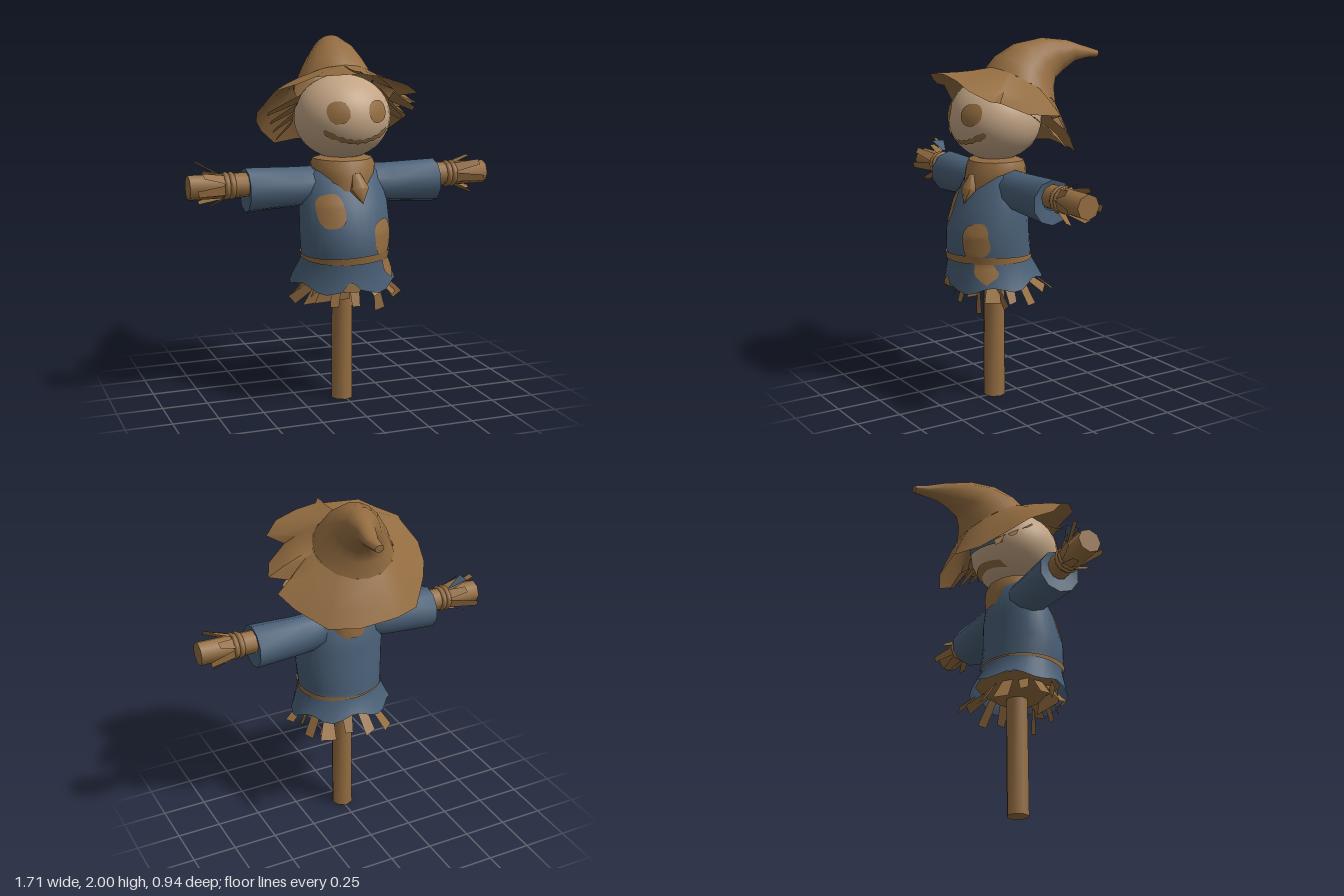
import * as THREE from 'three';
import { mergeGeometries, toCreasedNormals } from 'three/addons/utils/BufferGeometryUtils.js';

const V = (x, y, z) => new THREE.Vector3(x, y, z);
const TAU = Math.PI * 2;
const material = (name, color) => {
  const m = new THREE.MeshStandardMaterial({ color, side: THREE.DoubleSide });
  m.name = name;
  return m;
};

// Skin over rows of points; closed rows wrap around
function loft(rows, closed = true) {
  const n = rows[0].length, pos = [], idx = [];
  rows.forEach(r => r.forEach(p => pos.push(p.x, p.y, p.z)));
  for (let i = 0; i < rows.length - 1; i++)
    for (let j = 0; j < (closed ? n : n - 1); j++) {
      const a = i * n + j, b = i * n + (j + 1) % n;
      idx.push(a, a + n, b, b, a + n, b + n);
    }
  const g = new THREE.BufferGeometry();
  g.setAttribute('position', new THREE.Float32BufferAttribute(pos, 3));
  g.setIndex(idx);
  g.computeVertexNormals();
  return g;
}
const around = (n, fn) => Array.from({ length: n }, (_, i) => fn(i / n * TAU, i));

// Flat straw blade from base to tip
function blade(base, tip, side, w0, w1) {
  const s = side.clone().normalize();
  const row = (p, w) => [p.clone().addScaledVector(s, -w / 2), p.clone().addScaledVector(s, w / 2)];
  return loft([row(base, w0), row(tip, w1)], false);
}

// Thin painted patch: (u, v) gives x, y and zAt lays it on a surface
function decal(nu, nv, fn, zAt) {
  const rows = [];
  for (let j = 0; j <= nv; j++) {
    const row = [];
    for (let i = 0; i <= nu; i++) {
      const [x, y] = fn(i / nu, j / nv);
      row.push(V(x, y, zAt(x, y)));
    }
    rows.push(row);
  }
  return loft(rows, false);
}

// Shirt profile: y, front z, back z, half width
const SHIRT = [
  [1.35, 0.19, 0.04, 0.12], [1.28, 0.26, -0.01, 0.21], [1.12, 0.35, -0.03, 0.245],
  [0.97, 0.405, -0.035, 0.25], [0.86, 0.41, -0.05, 0.24], [0.82, 0.4, -0.05, 0.235],
  [0.64, 0.42, -0.15, 0.315],
];
function shirtAt(y) {
  let i = 0;
  while (i < SHIRT.length - 2 && y < SHIRT[i + 1][0]) i++;
  const a = SHIRT[i], b = SHIRT[i + 1];
  const t = THREE.MathUtils.clamp((a[0] - y) / (a[0] - b[0]), 0, 1);
  return [1, 2, 3].map(k => a[k] + (b[k] - a[k]) * t);
}
function shirtPoint(a, y, off = 0) {
  const [f, b, w] = shirtAt(y);
  return V(-0.01 + Math.sin(a) * (w + off), y, (f + b) / 2 + Math.cos(a) * ((f - b) / 2 + off));
}
const shirtZ = (x, y) => {
  const [f, b, w] = shirtAt(y);
  return (f + b) / 2 + (f - b) / 2 * Math.sqrt(Math.max(0, 1 - ((x + 0.01) / w) ** 2)) + 0.007;
};
const hemY = a => 0.695 - 0.03 * Math.cos(a) + 0.018 * Math.cos(6 * a + 0.6);

// Hat brim edge: x, z, y from the front round by the left side
const BRIM = [
  [0.0, 0.435, 1.82], [0.12, 0.44, 1.8], [0.24, 0.44, 1.76], [0.33, 0.37, 1.71], [0.27, 0.27, 1.69], [0.4, 0.18, 1.64],
  [0.47, 0.03, 1.63], [0.36, 0.01, 1.6], [0.44, -0.02, 1.55], [0.38, -0.1, 1.48], [0.25, -0.22, 1.39],
  [0.1, -0.29, 1.39], [-0.12, -0.3, 1.41], [-0.28, -0.22, 1.4], [-0.4, -0.08, 1.49], [-0.45, 0.0, 1.55],
  [-0.485, 0.13, 1.61], [-0.42, 0.22, 1.72], [-0.43, 0.26, 1.73], [-0.33, 0.34, 1.77], [-0.25, 0.4, 1.81],
  [-0.02, 0.42, 1.82], [-0.03, 0.47, 1.835],
];
// Hat crown rings: front z, y, back z, y, centre x, half width
const CROWN = [
  [0.16, 1.85, -0.2, 1.62, 0, 0.225], [0.11, 1.91, -0.2, 1.71, 0, 0.185], [0.0, 1.975, -0.215, 1.77, 0.01, 0.14],
  [-0.14, 2.0, -0.26, 1.81, 0.03, 0.095], [-0.28, 1.985, -0.32, 1.865, 0.07, 0.055],
  [-0.4, 1.945, -0.39, 1.885, 0.09, 0.038], [-0.47, 1.925, -0.465, 1.885, 0.085, 0.025], [-0.47, 1.905, -0.47, 1.905, 0.085, 0],
];
const crownPoint = ([fz, fy, bz, by, x, w], a) => {
  const c = Math.cos(a) / 2;
  return V(x + Math.sin(a) * w, (fy + by) / 2 + c * (fy - by), (fz + bz) / 2 + c * (fz - bz));
};

export function createModel() {
  const model = new THREE.Group();
  const brown = material('straw brown', 0x946d41);
  const blue = material('shirt blue', 0x4a6077);
  const cream = material('sack cream', 0xc3a585);
  const add = (name, geo, mat, x = 0, y = 0, z = 0) => {
    const m = new THREE.Mesh(geo, mat);
    m.name = name;
    m.position.set(x, y, z);
    model.add(m);
    return m;
  };
  const crease = (g, angle = 1) => toCreasedNormals(g, angle);

  // Post and straw stuffing under the shirt
  add('post', crease(new THREE.CylinderGeometry(0.06, 0.062, 0.72, 8)), brown, -0.01, 0.36, 0.145);
  add('stuffing', crease(new THREE.CylinderGeometry(0.235, 0.12, 0.08, 12)), brown, -0.01, 0.7, 0.15);

  // Shirt with a ragged hem
  const rows = SHIRT.slice(0, -1).map(([y]) => around(32, a => shirtPoint(a, y)));
  rows.push(around(32, a => shirtPoint(a, hemY(a))));
  add('shirt', crease(loft(rows)), blue);
  add('belt', loft([1, -1].map(s => around(32, a => shirtPoint(a,
    0.835 + s * (0.014 + 0.007 * Math.cos(a) + 0.004 * Math.sin(a)) + 0.006 * Math.sin(2 * a), 0.008)))), brown);

  // Shirt patches
  const blob = (cx, cy, rx, ry, wob) => (u, v) => {
    const a = u * TAU, r = v * (1 + wob * Math.cos(4 * a + 2.4));
    return [cx + rx * r * Math.cos(a), cy + ry * r * Math.sin(a)];
  };
  add('chestPatch', decal(24, 5, blob(-0.14, 1.095, 0.073, 0.092, 0.06), shirtZ), brown);
  add('bellyPatch', decal(24, 5, blob(0.145, 0.945, 0.064, 0.1, 0.06), shirtZ), brown);
  add('hemPatch', decal(6, 3, (u, v) => [-0.1 + 0.09 * u, 0.67 + v * 0.05 * Math.sin(u * 2.6 + 0.3)], shirtZ), brown);
  add('beltTail', decal(4, 6, (u, v) =>
    [0.165 + 0.045 * v + (u - 0.5) * 0.055 * (1 + v) * Math.min(1, 2.5 * (1 - v)), 0.84 - 0.13 * v], shirtZ), brown);

  // Straw fringe below the hem
  add('hemStraw', mergeGeometries(around(13, (a, i) => {
    const side = V(Math.cos(a), 0.3 * (i % 2), -Math.sin(a));
    const base = shirtPoint(a, 0.71, -0.09), tip = shirtPoint(a, 0.68, -0.05 + 0.025 * (i % 3));
    tip.y = 0.575 + 0.04 * ((i * 7) % 4) / 2;
    return blade(base, tip, side, 0.06, 0.045 + 0.022 * (i % 3));
  })), brown);
  add('looseStraw', mergeGeometries([
    blade(V(-0.2, 0.7, 0.25), V(-0.32, 0.6, 0.2), V(0.5, -0.6, 0), 0.05, 0.06),
    blade(V(0.18, 0.7, 0.25), V(0.28, 0.59, 0.24), V(0.7, 0.5, 0), 0.04, 0.06),
    blade(V(-0.12, 0.68, 0.28), V(-0.13, 0.59, 0.27), V(1, 0.05, 0), 0.2, 0.24),
    blade(V(0.12, 0.68, 0.32), V(0.14, 0.54, 0.33), V(1, 0.3, 0), 0.03, 0.06),
    blade(V(0.16, 0.7, -0.03), V(0.2, 0.63, -0.11), V(1, 0, 0.4), 0.06, 0.09),
  ]), brown);

  // Sleeves, arms, cuffs and straw hands
  for (const s of [1, -1]) {
    const side = s > 0 ? 'left' : 'right', cx = s > 0 ? 0 : -0.01;
    const sleeve = [[0.1, 1.215, 0.1], [0.26, 1.205, 0.108], [0.54, 1.2, 0.12], [0.53, 1.22, 0.062]].map(([x, y, r]) =>
      around(10, a => V(cx + s * x, y + r * Math.cos(a), 0.12 + r * Math.sin(a))));
    add(side + 'Sleeve', crease(loft(sleeve)), blue);
    const arm = add(side + 'Arm', crease(new THREE.CylinderGeometry(0.066, 0.066, 0.5, 8)), brown, cx + s * 0.6, 1.23, 0.12);
    arm.rotation.z = Math.PI / 2;
    for (const x of [0.62, 0.65]) {
      const cuff = add(side + 'Cuff', new THREE.TorusGeometry(0.064, 0.012, 5, 12), brown, cx + s * x, 1.23, 0.12);
      cuff.rotation.y = Math.PI / 2;
      cuff.scale.z = 1.4;
    }
    add(side + 'HandStraw', mergeGeometries(around(7, (a, i) => {
      const at = (x, r) => V(cx + s * x, 1.23 + r * Math.cos(a), 0.12 + r * Math.sin(a));
      return blade(at(0.66, 0.065), at(0.755 + 0.03 * (i % 3), 0.1 + 0.012 * (i % 2)), V(0.2, -Math.sin(a), Math.cos(a)), 0.055, 0.035);
    })), brown);
  }
  add('longStraw', blade(V(-0.67, 1.28, 0.1), V(-0.81, 1.36, 0.07), V(0.1, 0.3, 0.8), 0.025, 0.03), brown);
  add('clothScrap', blade(V(-0.765, 1.352, 0.08), V(-0.675, 1.302, 0.085), V(0, 0, 1), 0.08, 0.015), blue);

  // Sack head with painted face
  const C = V(-0.008, 1.575, 0.135), R = V(0.262, 0.228, 0.25);
  add('head', new THREE.SphereGeometry(1, 32, 20), cream, C.x, C.y, C.z).scale.copy(R);
  const headZ = sign => (x, y) => C.z + sign * (0.006 + R.z *
    Math.sqrt(Math.max(0, 1 - ((x - C.x) / R.x) ** 2 - ((y - C.y) / R.y) ** 2)));
  for (const s of [1, -1])
    add(s > 0 ? 'leftEye' : 'rightEye', decal(20, 4, blob(s * 0.11, 1.618, 0.058, 0.06, 0.02), headZ(1)), brown);
  const smile = (u, v) => {
    const k = 2 * u - 1;
    const thick = (0.023 + 0.03 * k ** 4 + 0.006 * Math.cos(u * 50)) * Math.sqrt(1 - k ** 10);
    return [k * 0.182, 1.462 + 0.058 * k * k + (v - 0.5) * thick];
  };
  add('mouth', decal(40, 2, smile, headZ(1)), brown);
  add('backSeam', decal(16, 2, (u, v) => [(2 * u - 1) * 0.14, 1.435 - 0.015 * (2 * u - 1) ** 2 + (v - 0.5) * 0.035], headZ(-1)), brown);

  // Neck scarf drooping to a point in front and behind, with a hanging knot
  const scarf = [[0.11, 1.37, 0], [0.165, 1.355, 0.005], [0.178, 1.325, 0.015], [0.178, 1.285, 0.035], [0.165, 1.25, 0.06]];
  add('scarf', crease(loft(scarf.map(([r, y, drop]) => around(20, a => {
    const c = Math.cos(a), d = drop * c * c;
    return V(-0.005 + r * Math.sin(a), y - d, 0.13 + c * (r * 0.86 + d * (c > 0 ? 0.75 : 0.3)));
  }))), 0.7), brown);
  const knot = [[0, 0], [0.055, 0.08], [0.025, 0.165], [0, 0.17]].map(p => new THREE.Vector2(...p));
  const tail = add('scarfKnot', crease(new THREE.LatheGeometry(knot, 6)), brown, 0.03, 1.13, 0.355);
  tail.rotation.set(-0.4, 0, 0.1);
  tail.scale.z = 0.65;

  // Hat: bent crown, drooping ragged brim and inner lining
  add('hatCrown', crease(loft(CROWN.map(r => around(16, a => crownPoint(r, a))))), brown);
  const brimRow = t => BRIM.map(([x, z, y]) => {
    const p = crownPoint(CROWN[0], Math.atan2(x / 0.225, (z + 0.02) / 0.18)).lerp(V(x, y, z), t);
    p.y += (z > 0.3 ? -0.03 : 0.035) * t * (1 - t);
    return p;
  });
  add('hatBrim', crease(loft([0, 0.33, 0.67, 1].map(brimRow))), brown);
  add('hatLining', new THREE.CylinderGeometry(0.268, 0.268, 0.04, 12, 1, true, Math.PI - 0.1, 0.95), blue, 0, 1.535, 0.135);

  // Straw poking out under the brim
  const tufts = [];
  for (const s of [1, -1])
    for (let i = 0; i < 4; i++) {
      const base = V(s * (0.26 - 0.012 * i), 1.68 - 0.05 * i, 0.17 - 0.08 * i);
      const tip = V(s * (0.42 - 0.04 * i), 1.6 - 0.055 * i, 0.12 - 0.08 * i);
      tufts.push(blade(base, tip, V(0, 0.6, 0.8), 0.09, 0.04));
    }
  add('brimStraw', mergeGeometries(tufts), brown);
  return model;
}
